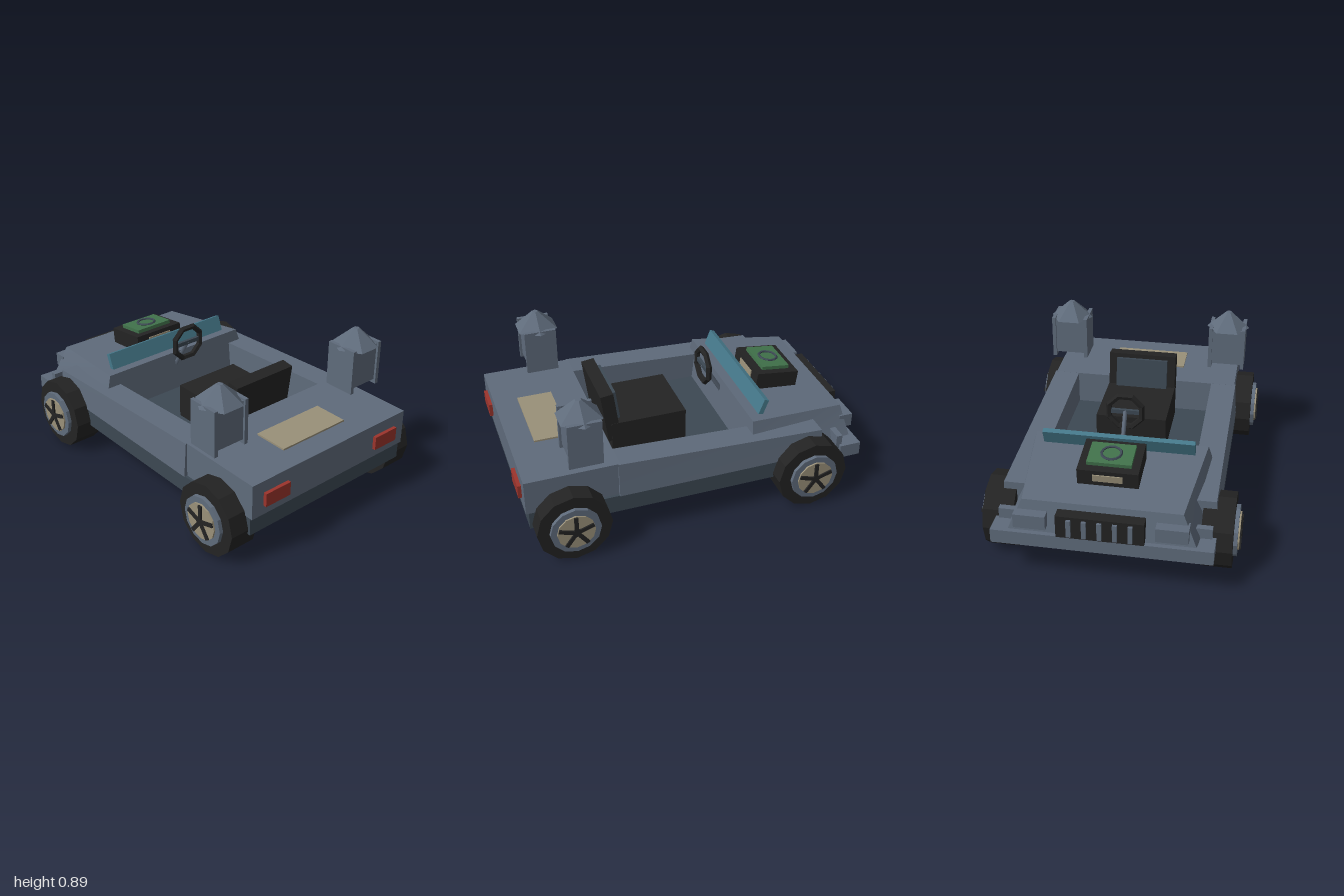
import * as THREE from 'three';

const mat = (name, color) => {
  const m = new THREE.MeshStandardMaterial({ color });
  m.name = name;
  return m;
};

export function createModel() {
  const body = mat('blueGrey', 0x5f6b7b);
  const slate = mat('darkSlate', 0x3c4853);
  const black = mat('black', 0x232323);
  const tan = mat('tan', 0x999079);
  const red = mat('red', 0x9c342c);
  const teal = mat('teal', 0x45788a);
  const green = mat('green', 0x41724b);

  const car = new THREE.Group();
  car.name = 'openCar';

  const add = (parent, name, geo, material, x = 0, y = 0, z = 0) => {
    const m = new THREE.Mesh(geo, material);
    m.name = name;
    m.position.set(x, y, z);
    parent.add(m);
    return m;
  };
  // box given by its limits on each axis
  const block = (parent, name, material, [x0, x1], [y0, y1], [z0, z1]) =>
    add(parent, name, new THREE.BoxGeometry(x1 - x0, y1 - y0, z1 - z0), material,
      (x0 + x1) / 2, (y0 + y1) / 2, (z0 + z1) / 2);
  // six-sided solid whose corners come from a rule on the corner signs
  const solid = (name, material, rule) => {
    const g = new THREE.BoxGeometry(2, 2, 2);
    const p = g.attributes.position;
    for (let i = 0; i < p.count; i++) p.setXYZ(i, ...rule(p.getX(i), p.getY(i), p.getZ(i)));
    g.computeVertexNormals();
    return add(car, name, g, material);
  };
  const group = (name, x, y, z) => {
    const g = new THREE.Group();
    g.name = name;
    g.position.set(x, y, z);
    car.add(g);
    return g;
  };
  const drum = (r, w, sides) => new THREE.CylinderGeometry(r, r, w, sides).toNonIndexed().rotateZ(Math.PI / 2);
  const flat = (g) => {
    const n = g.index ? g.toNonIndexed() : g;
    n.computeVertexNormals();
    return n;
  };

  // chassis and cockpit floor
  block(car, 'chassis', slate, [-0.56, 0.56], [0.18, 0.29], [-0.86, 0.965]);
  // rear deck
  block(car, 'rearDeck', body, [-0.563, 0.563], [0.285, 0.487], [0.46, 0.98]);
  block(car, 'deckPanel', tan, [-0.225, 0.225], [0.48, 0.497], [0.645, 0.845]);
  // hood, tapering towards the nose
  solid('hood', body, (sx, sy, sz) => {
    if (sy > 0) return sz > 0 ? [sx * 0.485, 0.525, -0.335] : [sx * 0.42, 0.47, -0.912];
    return sz > 0 ? [sx * 0.555, 0.285, -0.31] : [sx * 0.5, 0.285, -0.952];
  });
  block(car, 'noseCrossbar', body, [-0.565, 0.565], [0.285, 0.36], [-0.865, -0.83]);
  block(car, 'bumper', body, [-0.585, 0.585], [0.22, 0.3], [-0.975, -0.85]);

  // grille with upright slats
  block(car, 'grille', black, [-0.23, 0.23], [0.305, 0.435], [-0.985, -0.92]);
  for (let i = -2; i <= 2; i++)
    block(car, 'grilleSlat', body, [i * 0.08 - 0.012, i * 0.08 + 0.012], [0.32, 0.42], [-1, -0.98]);

  for (const s of [-1, 1]) {
    // cockpit side, leaning outwards at the bottom
    solid('sidePanel', body, (sx, sy, sz) => {
      const outer = sx * s > 0;
      const x = outer ? (sy > 0 ? 0.57 : 0.583) : 0.42;
      const y = sy > 0 ? (sz > 0 ? 0.487 : 0.435) : 0.285;
      return [s * x, y, sz > 0 ? 0.47 : -0.725];
    });
    const span = (a, b) => (s > 0 ? [a, b] : [-b, -a]);
    block(car, 'sill', slate, span(0.5, 0.578), [0.181, 0.286], [-0.5, 0.6]);
    block(car, 'tailLight', red, span(0.32, 0.487), [0.34, 0.418], [0.97, 1]);
    block(car, 'headlight', body, span(0.285, 0.455), [0.335, 0.415], [-0.98, -0.9]);

    // wheels: tyre, rim, hub disc and five spokes
    for (const z of [0.745, -0.64]) {
      const w = group('wheel', s * 0.585, 0.207, z);
      add(w, 'tyre', flat(drum(0.207, 0.167, 12)), black);
      add(w, 'rim', flat(drum(0.14, 0.04, 12)), body, s * 0.085);
      add(w, 'hubDisc', flat(drum(0.105, 0.04, 12)), tan, s * 0.094);
      add(w, 'hubCap', flat(drum(0.024, 0.02, 8)), black, s * 0.113);
      for (let k = 0; k < 5; k++) {
        const spoke = new THREE.BoxGeometry(0.016, 0.1, 0.022).translate(0, 0.05, 0);
        spoke.rotateX((k * Math.PI * 2) / 5);
        add(w, 'spoke', spoke, black, s * 0.115);
      }
    }

    // rear turrets with hexagonal roofs
    const t = group('turret', s * 0.495, 0, 0.65);
    block(t, 'turretBody', body, [-0.09, 0.09], [0.575, 0.8], [-0.08, 0.08]);
    for (const e of [-1, 1])
      block(t, 'turretPlate', body, [e * 0.1 - 0.011, e * 0.1 + 0.011], [0.55, 0.812], [-0.093, 0.093]);
    const roof = new THREE.CylinderGeometry(0.018, 0.13, 0.1, 6).rotateY(Math.PI / 2);
    add(t, 'turretRoof', flat(roof), body, 0, 0.845, 0);
  }

  // windscreen strip
  const screen = add(car, 'windscreen', new THREE.BoxGeometry(0.84, 0.11, 0.028), teal, 0, 0.552, -0.423);
  screen.rotation.x = -0.36;

  // seat with leaning back
  block(car, 'seatCushion', black, [-0.205, 0.205], [0.28, 0.49], [-0.04, 0.4]);
  const back = group('seatBack', 0, 0.46, 0.39);
  back.rotation.x = -0.13;
  back.scale.z = 1;
  block(back, 'backrest', black, [-0.203, 0.203], [-0.08, 0.225], [-0.035, 0.04]);
  block(back, 'backPad', slate, [-0.155, 0.155], [0.02, 0.2], [-0.058, -0.03]);
  back.rotation.x = 0.13;

  // steering wheel, crossbar and column
  const wheelGeo = new THREE.TorusGeometry(0.1, 0.018, 5, 8).rotateZ(Math.PI / 8);
  add(car, 'steeringWheel', flat(wheelGeo), black, 0, 0.635, -0.22);
  block(car, 'steeringBar', slate, [-0.09, 0.09], [0.623, 0.647], [-0.23, -0.212]);
  const a = new THREE.Vector3(0, 0.64, -0.22), b = new THREE.Vector3(0, 0.43, -0.345);
  const column = add(car, 'steeringColumn', new THREE.CylinderGeometry(0.013, 0.013, a.distanceTo(b), 6), body);
  column.position.copy(a).lerp(b, 0.5);
  column.quaternion.setFromUnitVectors(new THREE.Vector3(0, 1, 0), a.clone().sub(b).normalize());

  // box on the hood with a green lid and ring, tilted with the hood
  const unit = group('hoodBox', 0, 0.55, -0.625);
  unit.rotation.x = -0.12;
  block(unit, 'hoodBoxBody', black, [-0.163, 0.163], [-0.055, 0.045], [-0.13, 0.13]);
  block(unit, 'hoodBoxLid', green, [-0.12, 0.12], [0.04, 0.066], [-0.085, 0.085]);
  add(unit, 'lidRing', flat(new THREE.TorusGeometry(0.053, 0.008, 5, 14).rotateX(Math.PI / 2)), slate, 0, 0.068, 0);
  for (const e of [-1, 1])
    block(unit, 'hoodBoxLabel', tan, [-0.08, 0.08], [-0.02, 0.02], [e * 0.132 - 0.004, e * 0.132 + 0.004]);

  return car;
}
